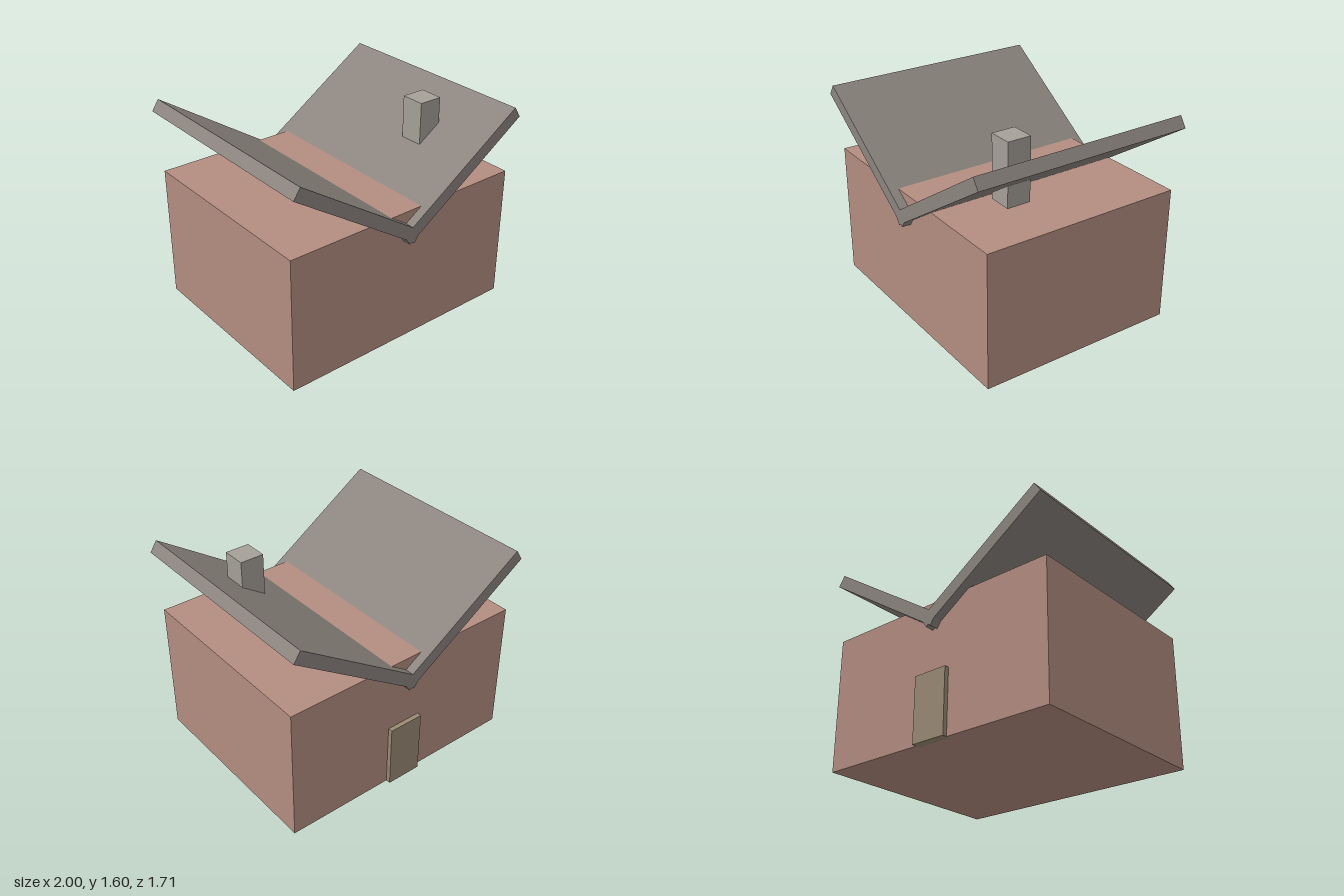
import * as THREE from 'three';

export function createModel() {
  const group = new THREE.Group();

  const box = (name, color, size, position) => {
    const mesh = new THREE.Mesh(
      new THREE.BoxGeometry(...size),
      new THREE.MeshStandardMaterial({ color, flatShading: true })
    );
    mesh.name = name;
    mesh.position.set(...position);
    group.add(mesh);
    return mesh;
  };

  // House body
  box('walls', 0xb48e81, [1.97, 1.05, 1.57], [0, 0.525, 0]);

  // Butterfly roof: two slabs that cross in a central valley
  const pitch = Math.atan2(0.68, 1.02);
  for (const side of [-1, 1]) {
    const slab = box(side > 0 ? 'roofLeft' : 'roofRight', 0x8c857f,
      [1.226, 0.097, 1.71], [side * 0.463, 1.21, 0]);
    slab.rotation.z = side * pitch;
  }

  // Chimney through the left slab
  box('chimney', 0xa5a198, [0.185, 0.485, 0.185], [0.5625, 1.3525, 0.3025]);

  // Door on the back wall
  box('door', 0x9a8a74, [0.28, 0.5, 0.07], [0, 0.25, -0.785]);

  return group;
}
